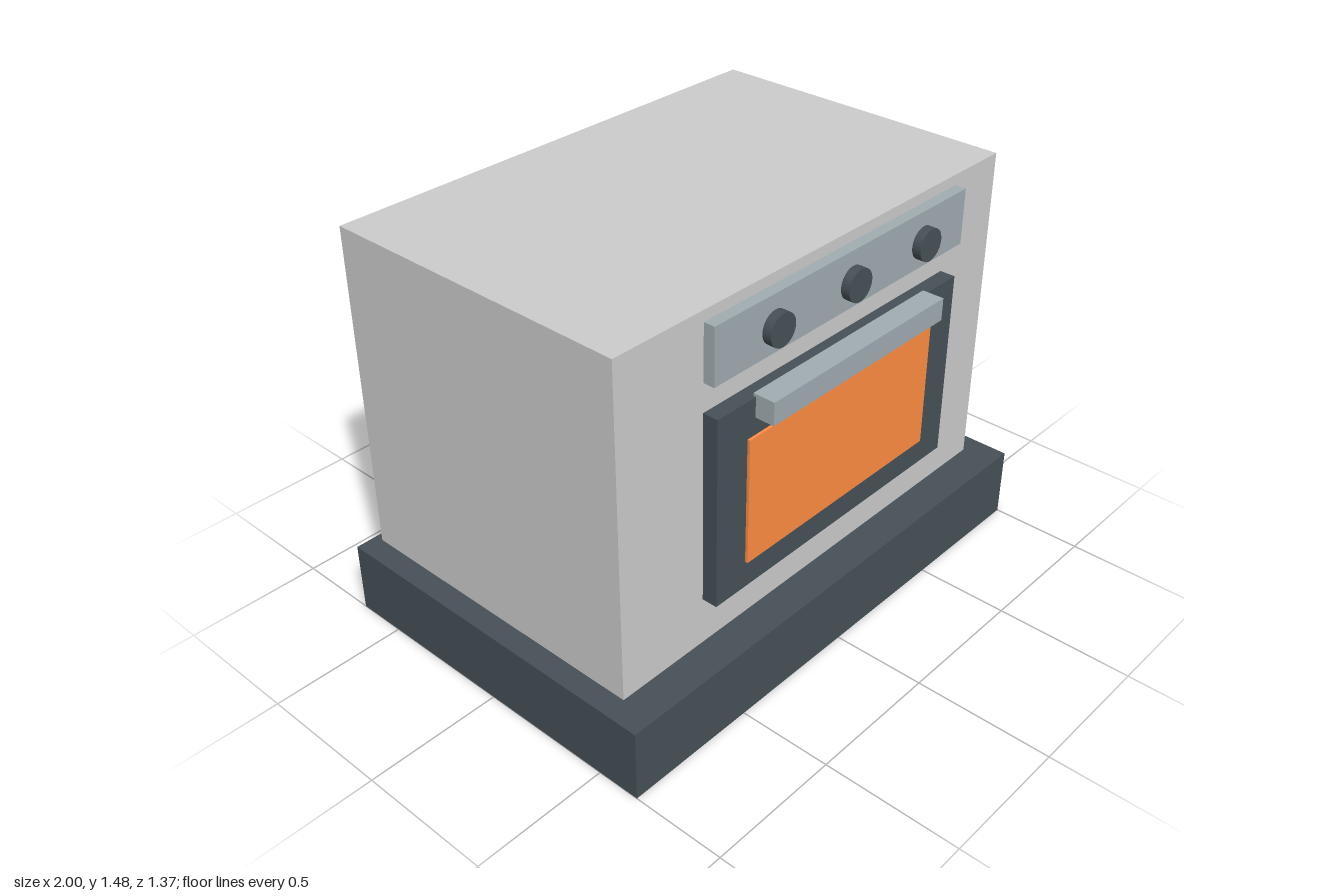
import * as THREE from 'three';

const material = (color) => new THREE.MeshStandardMaterial({ color });

// Box given by its extents on each axis
function box(name, mat, [x0, x1], [y0, y1], [z0, z1]) {
  const mesh = new THREE.Mesh(new THREE.BoxGeometry(x1 - x0, y1 - y0, z1 - z0), mat);
  mesh.name = name;
  mesh.position.set((x0 + x1) / 2, (y0 + y1) / 2, (z0 + z1) / 2);
  return mesh;
}

export function createModel() {
  const grey = material(0xcccccc);
  const dark = material(0x465057);
  const steel = material(0xa0acb0);
  const orange = material(0xff8c42);
  const oven = new THREE.Group();
  oven.name = 'oven';

  // Plinth and cabinet
  oven.add(
    box('base', dark, [-1, 1], [0, 0.265], [-0.685, 0.66]),
    box('body', grey, [-0.917, 0.917], [0.265, 1.477], [-0.652, 0.53])
  );

  // Door with window and handle, standing just clear of the cabinet
  const door = new THREE.Group();
  door.name = 'door';
  door.add(
    box('doorPanel', dark, [-0.591, 0.591], [0.478, 1.165], [0.56, 0.616]),
    box('window', orange, [-0.458, 0.458], [0.577, 1.033], [0.605, 0.626]),
    box('handle', steel, [-0.424, 0.424], [1.094, 1.175], [0.606, 0.686])
  );
  oven.add(door);

  // Control panel with three round knobs floating in front of it
  const controls = new THREE.Group();
  controls.name = 'controls';
  controls.add(box('controlPanel', steel, [-0.607, 0.607], [1.28, 1.477], [0.576, 0.616]));
  const knobGeometry = new THREE.CylinderGeometry(0.056, 0.056, 0.032, 32).rotateX(Math.PI / 2);
  for (const x of [-0.362, 0, 0.362]) {
    const knob = new THREE.Mesh(knobGeometry, dark);
    knob.name = 'knob';
    knob.position.set(x, 1.38, 0.645);
    controls.add(knob);
  }
  oven.add(controls);

  return oven;
}
